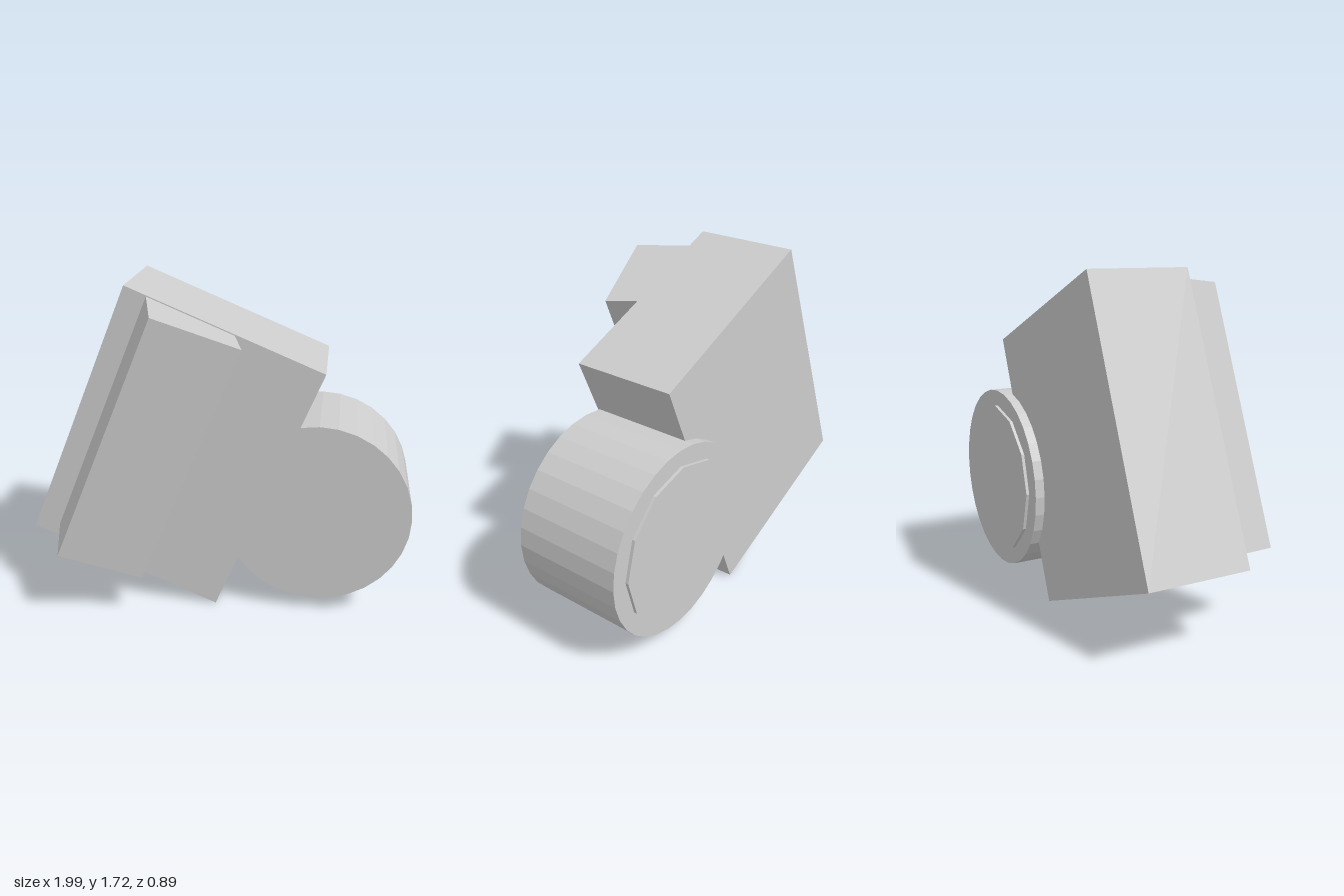
import * as THREE from 'three';

const material = new THREE.MeshStandardMaterial({ color: 0xcccccc, flatShading: true });

function part(name, geometry, parent, x = 0, y = 0, z = 0) {
  const mesh = new THREE.Mesh(geometry, material);
  mesh.name = name;
  mesh.position.set(x, y, z);
  parent.add(mesh);
  return mesh;
}

// Cylinder lying along z
function drum(radius, depth, sides) {
  return new THREE.CylinderGeometry(radius, radius, depth, sides).rotateX(Math.PI / 2);
}

export function createModel() {
  const model = new THREE.Group();
  model.name = 'model';

  // Everything on the leaning block shares its tilt
  const block = new THREE.Group();
  block.name = 'leaningBlock';
  block.position.set(-0.235, 0.867, 0);
  block.rotation.z = -0.39;
  model.add(block);
  part('blockBody', new THREE.BoxGeometry(1.065, 1.425, 0.533), block, 0, 0, -0.116);

  // Slanted front panel: cross-section in x and -z, run up the block
  const section = new THREE.Shape([
    [-0.418, -0.13], [0.045, -0.13], [0.111, -0.322], [-0.328, -0.445],
  ].map(([x, y]) => new THREE.Vector2(x, y)));
  const panel = new THREE.ExtrudeGeometry(section, { depth: 1.35, bevelEnabled: false });
  panel.rotateX(-Math.PI / 2);
  part('slantedPanel', panel, block, 0, -0.643, 0);

  // Shallow faceted stud under the panel
  const stud = new THREE.CylinderGeometry(0.145, 0.04, 0.042, 8);
  part('panelStud', stud, block, -0.145, -0.664, 0.24);

  // Round drum beside the block, with a thin cap on its back
  part('drum', drum(0.487, 0.57, 32), model, 0.508, 0.562, -0.147);
  part('drumCap', drum(0.405, 0.04, 12), model, 0.508, 0.562, -0.428);

  return model;
}
